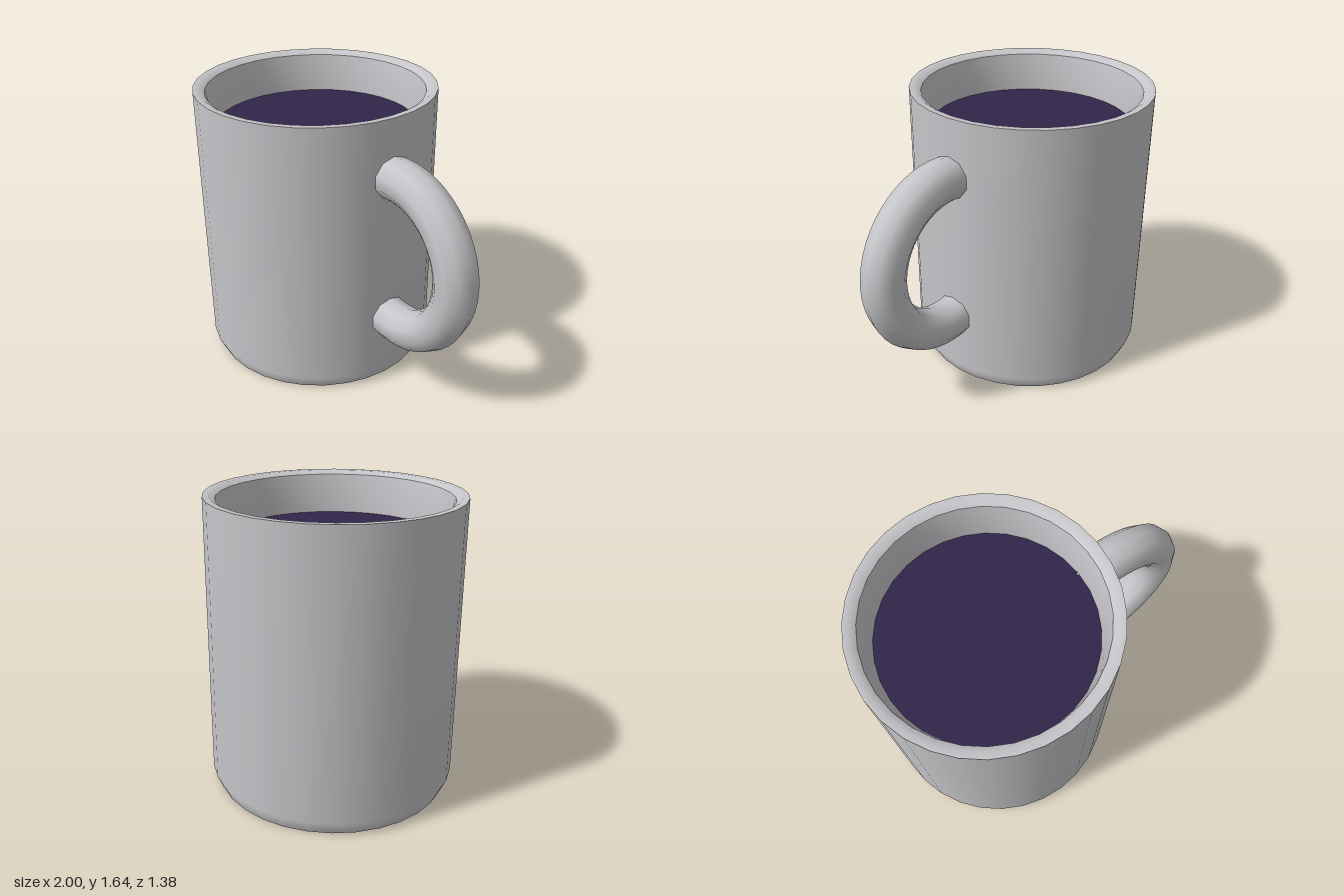
import * as THREE from 'three';

const SIDES = 32;
const CUP_X = -0.31; // cup axis, offset to balance the handle

export function createModel() {
  const group = new THREE.Group();
  const ceramic = new THREE.MeshStandardMaterial({ color: 0xc6c6ca });
  ceramic.name = 'grey ceramic';
  const drink = new THREE.MeshStandardMaterial({ color: 0x32254a });
  drink.name = 'dark drink';

  function add(name, geometry, material, x, y) {
    const mesh = new THREE.Mesh(geometry, material);
    mesh.name = name;
    mesh.position.set(x, y, 0);
    group.add(mesh);
  }

  // Turned cup surfaces, split where the edges are sharp
  function turned(name, profile) {
    const points = profile.map(([r, y]) => new THREE.Vector2(r, y));
    const geometry = new THREE.LatheGeometry(points, SIDES);
    geometry.normalizeNormals();
    add(name, geometry, ceramic, CUP_X, 0);
  }
  turned('cupBase', [[0, 0], [0.655, 0]]);
  turned('cupOuterWall', [[0.655, 0], [0.69, 0.08], [0.69, 1.64]]);
  turned('cupRim', [[0.69, 1.64], [0.655, 1.64], [0.625, 1.62]]);
  turned('cupInnerWall', [[0.625, 1.62], [0.585, 1.4], [0.57, 0.1]]);
  turned('cupInnerFloor', [[0.57, 0.1], [0, 0.1]]);

  // Drink surface
  const surface = new THREE.CircleGeometry(0.587, SIDES).rotateX(-Math.PI / 2);
  add('drinkSurface', surface, drink, CUP_X, 1.403);

  // Ring handle, its ends running through the cup wall
  const arc = Math.PI * 1.36;
  const ring = new THREE.TorusGeometry(0.445, 0.12, 10, 36, arc).rotateZ(-arc / 2);
  add('handle', ring, ceramic, 0.435, 0.865);

  return group;
}
